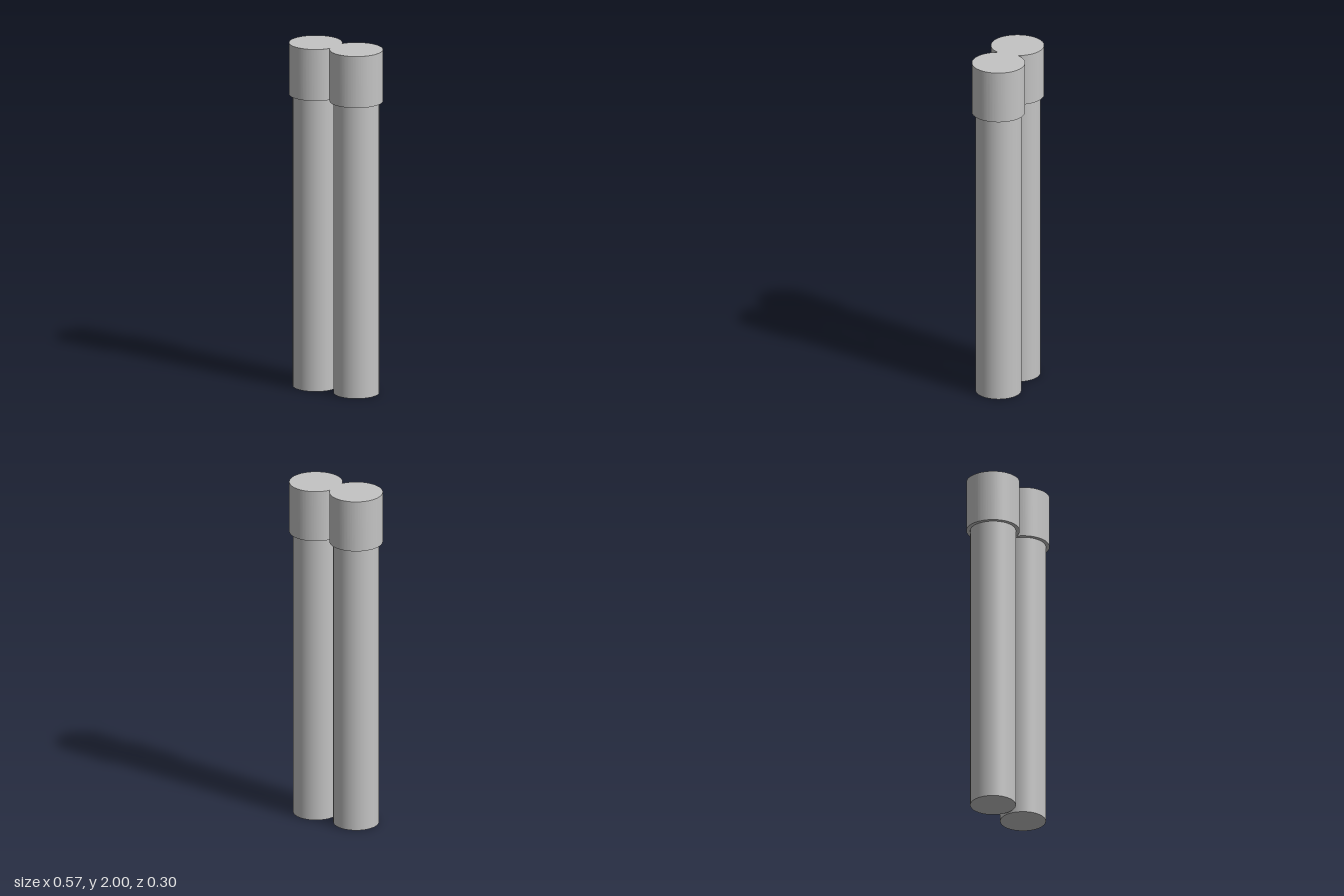
import * as THREE from 'three';
import { toCreasedNormals } from 'three/addons/utils/BufferGeometryUtils.js';

const OFFSET = 0.1366;      // tube axis distance from the centre
const TUBE_RADIUS = 0.1285;
const CAP_RADIUS = 0.15;
const CAP_BOTTOM = 1.7;
const TOP = 2;

export function createModel() {
  const model = new THREE.Group();
  model.name = 'twinTubes';
  const grey = new THREE.MeshStandardMaterial({ color: 0xc4c4c4 });
  grey.name = 'lightGrey';

  // Two tubes side by side with a narrow gap
  for (const [side, name] of [[1, 'leftTube'], [-1, 'rightTube']]) {
    const tube = new THREE.Mesh(
      new THREE.CylinderGeometry(TUBE_RADIUS, TUBE_RADIUS, CAP_BOTTOM, 64), grey);
    tube.name = name;
    tube.position.set(side * OFFSET, CAP_BOTTOM / 2, 0);
    model.add(tube);
  }

  // Joined cap: outline of two overlapping circles, meeting in a crease at x = 0
  const a = Math.acos(OFFSET / CAP_RADIUS);
  const outline = new THREE.Shape();
  outline.absarc(OFFSET, 0, CAP_RADIUS, a - Math.PI, Math.PI - a, false);
  outline.absarc(-OFFSET, 0, CAP_RADIUS, a, 2 * Math.PI - a, false);
  const capGeometry = new THREE.ExtrudeGeometry(outline, {
    depth: TOP - CAP_BOTTOM, bevelEnabled: false, curveSegments: 64,
  });
  capGeometry.rotateX(-Math.PI / 2);
  const cap = new THREE.Mesh(toCreasedNormals(capGeometry, 0.5), grey);
  cap.name = 'joinedCap';
  cap.position.y = CAP_BOTTOM;
  model.add(cap);

  return model;
}
